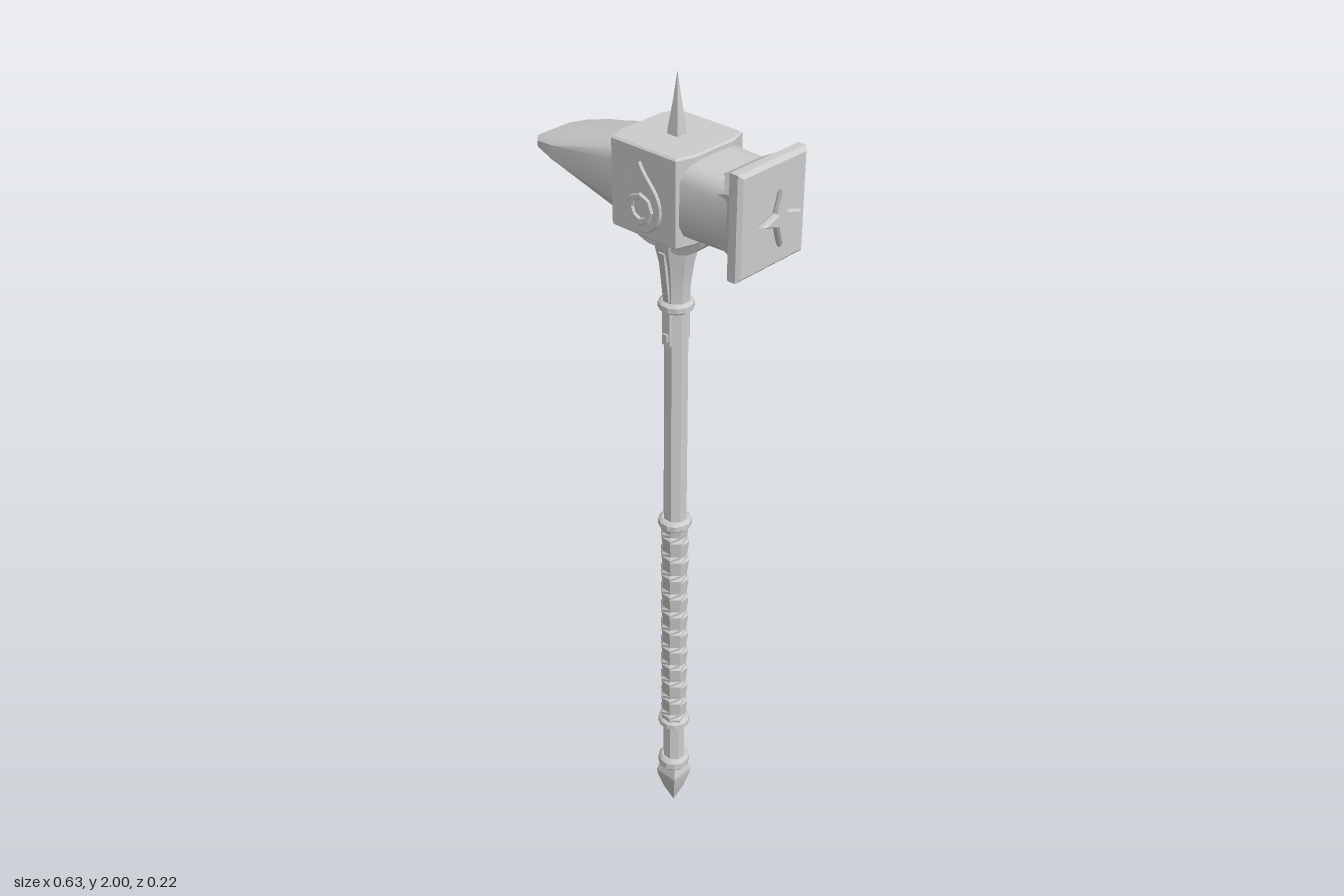
import * as THREE from 'three';
import { toCreasedNormals } from 'three/addons/utils/BufferGeometryUtils.js';

const AXIS = 0.037; // x of the shaft
const HEAD = 1.774; // height of the head's centre line

// Closed solid through rings of points that follow +x
function loft(rings) {
  const pos = [];
  const tri = (...pts) => pts.forEach((p) => pos.push(p.x, p.y, p.z));
  const n = rings[0].length;
  const centre = (r) => r.reduce((s, p) => s.add(p), new THREE.Vector3()).divideScalar(n);
  const first = rings[0], last = rings[rings.length - 1];
  const c0 = centre(first), c1 = centre(last);
  for (let j = 0; j < n; j++) {
    const k = (j + 1) % n;
    for (let i = 0; i < rings.length - 1; i++) {
      const a = rings[i], b = rings[i + 1];
      tri(a[j], a[k], b[j]);
      tri(a[k], b[k], b[j]);
    }
    tri(c0, first[k], first[j]);
    tri(c1, last[j], last[k]);
  }
  const g = new THREE.BufferGeometry();
  g.setAttribute('position', new THREE.Float32BufferAttribute(pos, 3));
  return g;
}

// Mirrors a quarter section of [z, y] points into a full ring outline
function mirrorSection(q) {
  const r = [...q].reverse();
  return [...q, ...r.map(([z, y]) => [z, -y]), ...q.map(([z, y]) => [-z, -y]), ...r.map(([z, y]) => [-z, y])];
}

// Stations are [x, centre y, half height, half depth]
const loftSection = (section, stations) => loft(stations.map(([x, cy, h, d]) =>
  section.map(([z, y]) => new THREE.Vector3(x, cy + y * h, z * d))));

const CROWN = mirrorSection([[0.4, 1], [0.7, 0.95], [0.9, 0.8], [1, 0.55]]);
const OCTAGON = mirrorSection([[0.6, 1], [1, 0.6]]);
const SQUARE = [[1, 1], [1, -1], [-1, -1], [-1, 1]];

// Turned solid with few sides, flats facing the axes; profile is [half width, y] upwards
function turned(profile, sides) {
  const k = 1 / Math.cos(Math.PI / sides);
  const pts = profile.map(([r, y]) => new THREE.Vector2(r * k, y));
  return new THREE.LatheGeometry(pts, sides, Math.PI / sides);
}

function dropOutline(path, s) {
  path.moveTo(0, 0.09 * s);
  path.bezierCurveTo(0.013 * s, 0.06 * s, 0.055 * s, 0.04 * s, 0.055 * s, 0);
  path.absarc(0, 0, 0.055 * s, 0, -Math.PI, true);
  path.bezierCurveTo(-0.055 * s, 0.04 * s, -0.013 * s, 0.06 * s, 0, 0.09 * s);
  return path;
}

export function createModel() {
  const model = new THREE.Group();
  model.name = 'warHammer';
  const steel = new THREE.MeshStandardMaterial({ color: 0xcccccc });
  steel.name = 'light grey steel';

  function add(name, geometry, x = 0, y = 0, z = 0, crease = 0.5, parent = model) {
    const mesh = new THREE.Mesh(toCreasedNormals(geometry, crease), steel);
    mesh.name = name;
    mesh.position.set(x, y, z);
    parent.add(mesh);
    return mesh;
  }

  // Shaft, pommel point and top spike
  add('shaft', turned([[0, 0.12], [0.026, 0.12], [0.026, 1.55], [0, 1.55]], 8), AXIS);
  add('pommelPoint', turned([[0, 0], [0.018, 0.05], [0.029, 0.095], [0.031, 0.112], [0.025, 0.14], [0, 0.14]], 4), AXIS, 0, 0, 0.3);
  add('topSpike', turned([[0, 1.86], [0.015, 1.86], [0.013, 1.885], [0.006, 1.94], [0, 2]], 4), AXIS, 0, 0, 0.3);

  // Rounded collars along the shaft: [y, half height]
  for (const [y, h] of [[0.155, 0.018], [0.295, 0.013], [0.92, 0.013], [1.49, 0.012]]) {
    add('collar', turned([[0, -h], [0.031, -h], [0.038, -h * 0.5], [0.038, h * 0.5], [0.031, h], [0, h]], 12), AXIS, y);
  }

  // Eight-sided grip wrapped in an overlapping spiral band
  const grip = new THREE.CylinderGeometry(1, 1, 0.616, 8, 88, true, Math.PI / 8);
  const p = grip.attributes.position;
  for (let i = 0; i < p.count; i++) {
    const t = p.getY(i) / 0.056 + (i % 9) / 8 + 100.06;
    const r = 0.029 + 0.007 * (t - Math.floor(t));
    p.setX(i, p.getX(i) * r);
    p.setZ(i, p.getZ(i) * r);
  }
  add('gripWrap', grip, AXIS, 0.608);

  // Socket flaring up to the head
  add('socket', turned([[0, 1.48], [0.027, 1.48], [0.03, 1.54], [0.036, 1.59], [0.045, 1.63], [0.045, 1.66], [0, 1.66]], 8), AXIS);

  // Ribs on the socket and small tongues below it, front and back
  for (const s of [1, -1]) {
    add('tongue', new THREE.BoxGeometry(0.022, 0.09, 0.012), AXIS, 1.445, s * 0.026);
    add('tongueStud', new THREE.BoxGeometry(0.014, 0.018, 0.012), AXIS, 1.42, s * 0.031);
    const rib = add('socketRib', new THREE.BoxGeometry(0.016, 0.12, 0.012), AXIS, 1.565, s * 0.034);
    rib.rotation.x = s * 0.13;
  }

  // Crescent cradle under the head
  const crescent = new THREE.Shape();
  crescent.moveTo(-0.107, 1.688);
  crescent.quadraticCurveTo(-0.1, 1.645, -0.04, 1.632);
  crescent.lineTo(0.04, 1.632);
  crescent.quadraticCurveTo(0.1, 1.645, 0.107, 1.688);
  crescent.quadraticCurveTo(0.08, 1.665, 0.035, 1.66);
  crescent.lineTo(-0.035, 1.66);
  crescent.quadraticCurveTo(-0.08, 1.665, -0.107, 1.688);
  add('cradle', new THREE.ExtrudeGeometry(crescent, { depth: 0.084, bevelEnabled: false, curveSegments: 8 }), AXIS, 0, -0.042);
  add('cradleNeck', new THREE.BoxGeometry(0.05, 0.04, 0.06), AXIS, 1.67);

  // Central block with cut corners
  const plan = new THREE.Shape([[-0.084, 0.094], [-0.096, 0.055], [-0.096, -0.055], [-0.084, -0.094],
    [0.084, -0.094], [0.096, -0.055], [0.096, 0.055], [0.084, 0.094]].map(([x, y]) => new THREE.Vector2(x, y)));
  const block = new THREE.ExtrudeGeometry(plan, { depth: 0.184, bevelSize: 0.004, bevelThickness: 0.004, bevelSegments: 1 });
  block.rotateX(-Math.PI / 2);
  add('headBlock', block, AXIS, HEAD - 0.092, 0, 0.2);

  // Wedge-shaped peak on the right
  add('peak', loftSection(CROWN, [
    [-0.318, 1.778, 0.003, 0.05], [-0.29, 1.778, 0.012, 0.077],
    [-0.23, 1.778, 0.03, 0.09], [-0.04, 1.771, 0.086, 0.09]]), 0, 0, 0, 0.75);

  // Hammer neck, flare and striking plate on the left
  add('hammerNeck', loftSection(CROWN, [[0.12, HEAD, 0.084, 0.09], [0.22, HEAD, 0.08, 0.09], [0.252, HEAD, 0.08, 0.09]]), 0, 0, 0, 0.75);
  add('hammerFlare', loftSection(OCTAGON, [[0.205, HEAD, 0.078, 0.086], [0.24, HEAD, 0.097, 0.088], [0.258, HEAD, 0.104, 0.092]]), 0, 0, 0, 0.2);
  add('strikingPlate', loftSection(SQUARE, [[0.255, HEAD, 0.104, 0.092], [0.263, HEAD, 0.112, 0.1],
    [0.282, HEAD, 0.112, 0.1], [0.29, HEAD, 0.104, 0.092]]), 0, 0, 0, 0.2);

  // Four-pointed star before the striking plate
  const star = [];
  for (let i = 0; i < 8; i++) {
    const a = (i * Math.PI) / 4, r = i % 2 ? 0.33 : 1;
    star.push([Math.sin(a) * r, Math.cos(a) * r]);
  }
  add('star', loftSection(star, [[0.297, HEAD, 0.05, 0.05], [0.302, HEAD, 0.06, 0.06],
    [0.31, HEAD, 0.06, 0.06], [0.315, HEAD, 0.05, 0.05]]), 0, 0, 0, 0.2);

  // Drop emblem with an inner ring on the front and back
  const drop = dropOutline(new THREE.Shape(), 1);
  drop.holes.push(dropOutline(new THREE.Path(), 0.76));
  const ring = new THREE.Shape().absarc(0, 0, 0.032, 0, Math.PI * 2);
  ring.holes.push(new THREE.Path().absarc(0, 0, 0.022, 0, Math.PI * 2, true));
  const relief = { depth: 0.004, bevelSize: 0.002, bevelThickness: 0.002, bevelSegments: 1 };
  for (const turn of [0, Math.PI]) {
    const emblem = new THREE.Group();
    emblem.name = 'emblem';
    emblem.position.set(AXIS, 1.752, 0);
    emblem.rotation.y = turn;
    add('dropFrame', new THREE.ExtrudeGeometry(drop, { ...relief, curveSegments: 12 }), 0, 0, 0.105, 0.5, emblem);
    add('innerRing', new THREE.ExtrudeGeometry(ring, { ...relief, curveSegments: 4 }), 0, -0.008, 0.105, 0.5, emblem);
    model.add(emblem);
  }
  return model;
}
